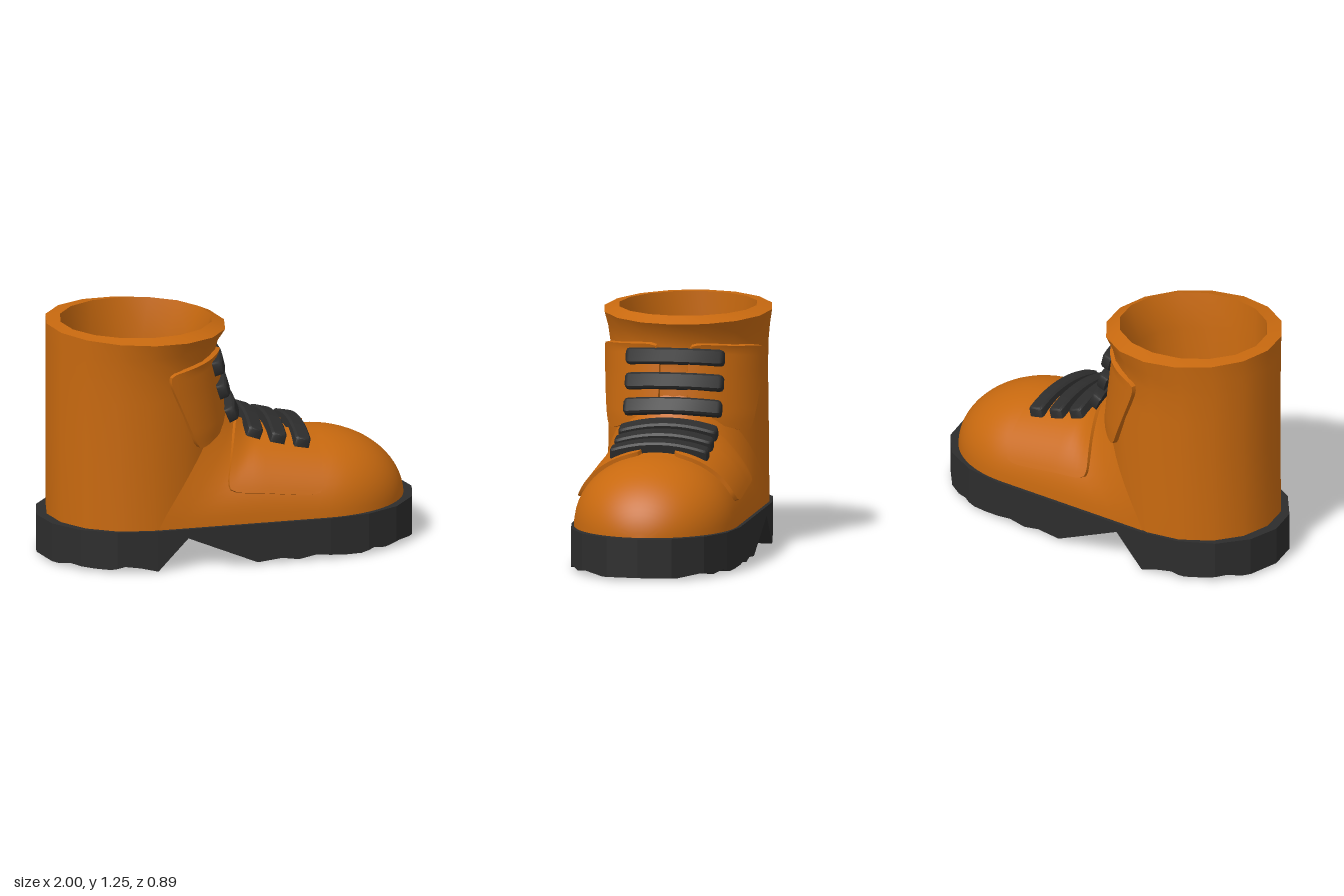
import * as THREE from 'three';
import { toCreasedNormals } from 'three/addons/utils/BufferGeometryUtils.js';

const { lerp, clamp, degToRad } = THREE.MathUtils;
const BACK = -0.945;

// Skin a list of equally long rings of [x, y, z] points
function loft(rings, closed, crease) {
  const n = rings[0].length, index = [];
  for (let i = 0; i < rings.length - 1; i++) {
    for (let j = 0; j < (closed ? n : n - 1); j++) {
      const k = (j + 1) % n, a = i * n + j, b = i * n + k;
      index.push(a, b, a + n, b, b + n, a + n);
    }
  }
  const g = new THREE.BufferGeometry();
  g.setAttribute('position', new THREE.Float32BufferAttribute(rings.flat(2), 3));
  g.setIndex(index);
  return toCreasedNormals(g, crease);
}

// Piecewise linear lookup in rows of [key, ...values]
function lookup(rows, key, col) {
  let i = 0;
  while (i < rows.length - 2 && key > rows[i + 1][0]) i++;
  const [a, b] = [rows[i], rows[i + 1]];
  return lerp(a[col], b[col], clamp((key - a[0]) / (b[0] - a[0]), 0, 1));
}

// Shaft rows: height, front x, half width
const SHAFT = [[0.2, -0.02, 0.425], [0.7, -0.02, 0.42], [0.9, -0.045, 0.415],
  [1.05, -0.065, 0.415], [1.14, -0.04, 0.425], [1.2, 0, 0.44]];

const oval = (back, front, rz, y, th) =>
  [(back + front) / 2 + (front - back) / 2 * Math.cos(th), y, -rz * Math.sin(th)];

const shaftPoint = (y, th) => oval(BACK, lookup(SHAFT, y, 1), lookup(SHAFT, y, 2), y, th);

// Forefoot surface: x along the foot, a across the arch (-90 to 90 degrees)
function footPoint(x, a) {
  const t = clamp((x - 0.45) / 0.495, 0, 1), k = Math.sqrt(1 - t * t);
  const z = 0.425 * k * Math.sin(a);
  const ankle = -0.46 + 0.44 * Math.sqrt(Math.max(0, 1 - (z / 0.43) ** 2));
  const fillet = 0.16 * clamp(1 - (x - ankle) / 0.2, 0, 1.2) ** 2;
  const h = 0.375 * k + 0.05 * clamp((0.45 - x) / 0.35, 0, 1) + fillet;
  return [x, 0.205 + h * Math.max(0, Math.cos(a)) ** 0.9, z];
}

// Raised, round-cornered patch on a surface; corners are [p, q] pairs
function panel(surface, [c00, c10, c11, c01], side) {
  const N = 16, rings = [], e = 0.002;
  const vec = (p, q) => new THREE.Vector3(...surface(p, q));
  for (let i = -1; i <= N + 1; i++) {
    const ring = [];
    for (let j = -1; j <= N + 1; j++) {
      const border = i < 0 || j < 0 || i > N || j > N;
      const U = 2 * clamp(i / N, 0, 1) - 1, V = side * (2 * clamp(j / N, 0, 1) - 1);
      const u = (U * (1 - 0.08 * V ** 8) + 1) / 2, v = (V * (1 - 0.08 * U ** 8) + 1) / 2;
      const [p, q0] = [0, 1].map(m => lerp(lerp(c00[m], c10[m], u), lerp(c01[m], c11[m], u), v));
      const q = side * q0, at = vec(p, q);
      const dp = vec(p + e, q).sub(vec(p - e, q)), dq = vec(p, q + e).sub(vec(p, q - e));
      at.addScaledVector(dq.cross(dp).normalize(), border ? -0.005 : 0.021);
      ring.push(at.toArray());
    }
    rings.push(ring);
  }
  return loft(rings, false, 0.7);
}

// Bowed lace bar across the foot; its outer face points along angle
function lace(cx, cy, angle) {
  const n = [Math.cos(angle), Math.sin(angle)], half = 0.257;
  const stations = [[-1, 0], [-1, 0.62], [-0.97, 0.9], [-0.92, 1]];
  for (let i = -4; i <= 4; i++) stations.push([i * 0.2, 1]);
  stations.push([0.92, 1], [0.97, 0.9], [1, 0.62], [1, 0]);
  const rings = stations.map(([s, w]) => {
    const dip = -0.045 * s * s;
    return [[-1, -1], [-1, 0.6], [-0.75, 1], [0.75, 1], [1, 0.6], [1, -1]].map(([tt, nn]) => {
      const t = 0.042 * tt * w, d = dip + 0.027 * nn * Math.min(1, w * 1.3);
      return [cx + n[0] * d + n[1] * t, cy + n[1] * d - n[0] * t, half * s];
    }).reverse();
  });
  return loft(rings, true, 0.6);
}

// Sole: facetted stadium plan with a heel notch and a ragged tread
function sole() {
  const plan = [[-1, 0], [-0.96, 0.17], [-0.84, 0.32], [-0.67, 0.41], [-0.46, 0.443],
    [0.46, 0.443], [0.67, 0.41], [0.84, 0.32], [0.96, 0.17], [1, 0]];
  const tread = [[-1, 0.015], [-0.93, 0.01], [-0.88, 0.025], [-0.78, 0.014], [-0.7, 0.012],
    [-0.63, 0.03], [-0.55, 0.02], [-0.46, 0], [-0.3, 0.168], [0.07, 0.01], [0.2, 0.024],
    [0.29, 0.01], [0.38, 0.028], [0.55, 0.012], [0.63, 0.01], [0.7, 0.028], [0.77, 0.014],
    [0.85, 0.028], [0.94, 0.01], [1, 0.015]];
  const xs = [...new Set([...plan, ...tread].map(p => p[0]))].sort((a, b) => a - b);
  return loft(xs.map(x => {
    const w = lookup(plan, x, 1), b = lookup(tread, x, 1);
    return [[x, 0.217, -w], [x, 0.217, w], [x, b, w], [x, b, -w]];
  }), true, 0.05);
}

// Shaft: outer wall, flared collar, rim and inner lining in one skin
function shaft() {
  const ring = f => Array.from({ length: 16 }, (_, i) => f(i / 8 * Math.PI));
  const rings = SHAFT.slice(0, -1).map(([y]) => ring(th => shaftPoint(y, th)));
  rings.push(ring(th => oval(BACK, 0, 0.44, 1.222 - 0.025 * Math.cos(th), th)));
  rings.push(ring(th => oval(-0.87, -0.07, 0.36, 1.242 - 0.008 * Math.cos(th), th)));
  rings.push(ring(th => oval(-0.865, -0.13, 0.335, 1.05, th)));
  rings.push(ring(th => oval(-0.865, -0.145, 0.33, 0.2, th)));
  return loft(rings, true, 0.7);
}

// Forefoot: arch sections from the ankle to the rounded toe
function forefoot() {
  const rings = [];
  for (let i = 0; i <= 28; i++) {
    const e = 1 - (1 - i / 28) ** 1.8, ring = [];
    for (let j = 0; j <= 28; j++) {
      const a = (j / 28 - 0.5) * Math.PI;
      ring.push(footPoint(lerp(-0.46 + 0.42 * Math.cos(a), 0.945, e), a));
    }
    rings.push(ring);
  }
  return loft(rings, false, 0.9);
}

export function createModel() {
  const leather = new THREE.MeshStandardMaterial({ color: 0xc8690f, side: THREE.DoubleSide });
  leather.name = 'orange leather';
  const rubber = new THREE.MeshStandardMaterial({ color: 0x2d2d2d });
  rubber.name = 'dark rubber';

  const boot = new THREE.Group();
  boot.name = 'boot';
  const add = (name, geometry, material) => {
    const mesh = new THREE.Mesh(geometry, material);
    mesh.name = name;
    boot.add(mesh);
  };

  add('sole', sole(), rubber);
  add('shaft', shaft(), leather);
  add('forefoot', forefoot(), leather);

  // Lacing flaps on both sides
  const deg = list => list.map(([p, q]) => [p, degToRad(q)]);
  const ankleFlap = deg([[0.72, 10], [1.1, 10], [1.05, 78], [0.61, 58]]);
  const footFlap = deg([[0.03, 11], [0.455, 11], [0.43, 73], [-0.09, 68]]);
  for (const side of [1, -1]) {
    const word = side > 0 ? 'left' : 'right';
    // the shaft angle runs towards -z
    add(`${side > 0 ? 'right' : 'left'}AnkleFlap`, panel(shaftPoint, ankleFlap, side), leather);
    add(`${word}FootFlap`, panel(footPoint, footFlap, side), leather);
  }

  // Laces: centre x, y and the angle their outer face points
  [[-0.052, 1.025, 14], [-0.027, 0.9, 17], [0.018, 0.777, 23],
    [0.117, 0.69, 70], [0.24, 0.652, 75], [0.366, 0.62, 78]]
    .forEach(([x, y, a], i) => add(`lace${i + 1}`, lace(x, y, degToRad(a)), rubber));

  return boot;
}
